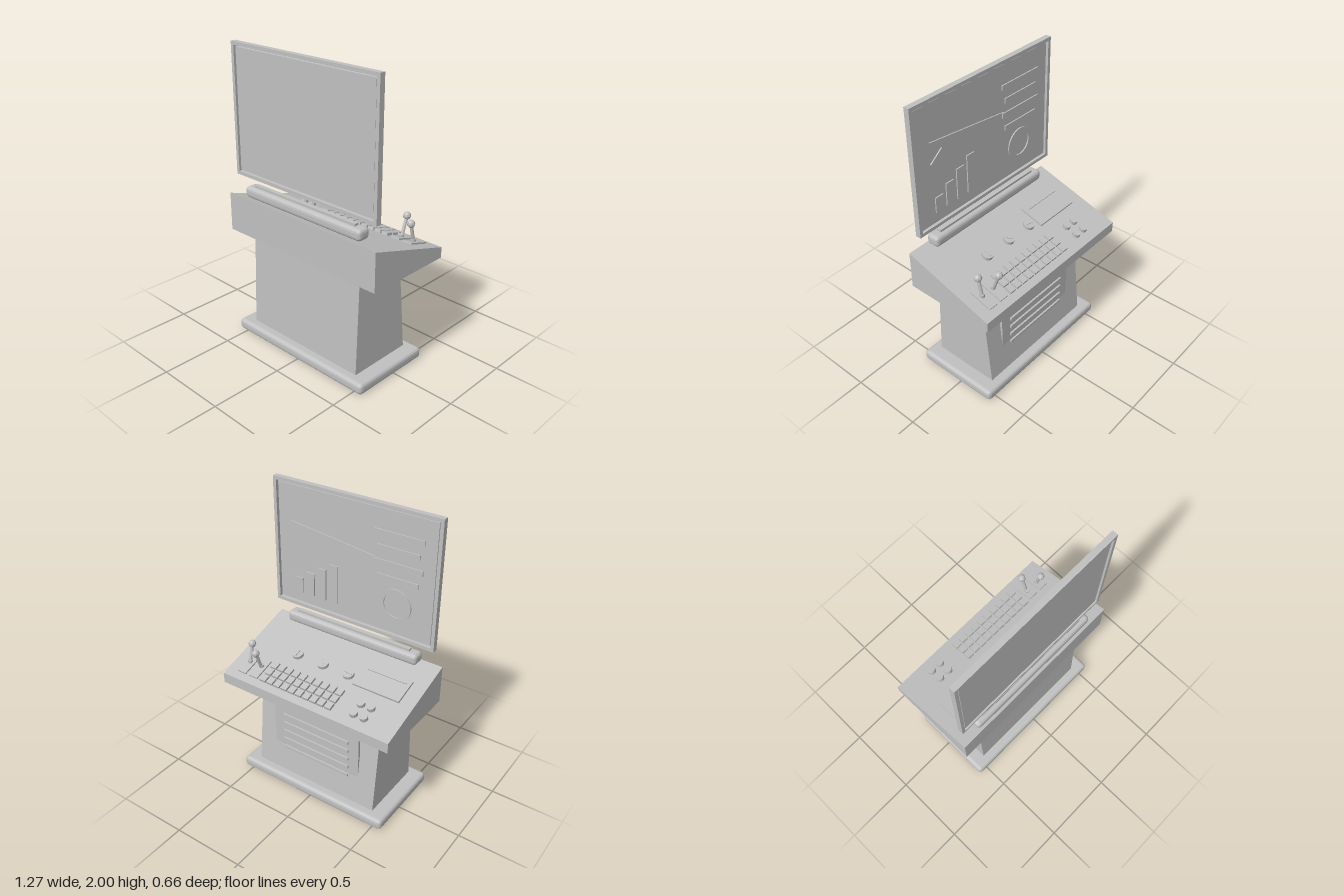
import * as THREE from 'three';
import { RoundedBoxGeometry } from 'three/addons/geometries/RoundedBoxGeometry.js';

const grey = new THREE.MeshStandardMaterial({ color: 0xc0c0c0, flatShading: true });
grey.name = 'plain grey';

function add(parent, name, geometry, x = 0, y = 0, z = 0) {
  const mesh = new THREE.Mesh(geometry, grey);
  mesh.name = name;
  mesh.position.set(x, y, z);
  parent.add(mesh);
  return mesh;
}

// Box given by its limits
function block(parent, name, x0, x1, y0, y1, z0, z1) {
  return add(parent, name, new THREE.BoxGeometry(x1 - x0, y1 - y0, z1 - z0),
    (x0 + x1) / 2, (y0 + y1) / 2, (z0 + z1) / 2);
}

function polygon(points) {
  return new THREE.Shape(points.map(([x, y]) => new THREE.Vector2(x, y)));
}

function extrude(shape, depth) {
  return new THREE.ExtrudeGeometry(shape, { depth, bevelEnabled: false, curveSegments: 16 });
}

// Side profile of [z, y] points, drawn out along x
function sideProfile(points, width) {
  const g = extrude(polygon(points.map(([z, y]) => [-z, y])), width);
  g.rotateY(Math.PI / 2);
  g.translate(-width / 2, 0, 0);
  return g;
}

function rod(parent, name, a, b, radius) {
  const from = new THREE.Vector3(...a), to = new THREE.Vector3(...b);
  const dir = to.clone().sub(from);
  const mesh = add(parent, name, new THREE.CylinderGeometry(radius, radius, dir.length(), 8));
  mesh.position.copy(from).add(to).multiplyScalar(0.5);
  mesh.quaternion.setFromUnitVectors(new THREE.Vector3(0, 1, 0), dir.normalize());
}

function makeMonitor() {
  const g = new THREE.Group();
  g.name = 'monitor';
  // Frame with a narrow gap around the screen
  const rim = polygon([[-0.6, 1.135], [0.6, 1.135], [0.6, 2], [-0.6, 2]]);
  rim.holes.push(polygon([[-0.577, 1.158], [-0.577, 1.977], [0.577, 1.977], [0.577, 1.158]]));
  add(g, 'screenFrame', extrude(rim, 0.038), 0, 0, 0.221);
  block(g, 'screen', -0.568, 0.568, 1.167, 1.968, 0.232, 0.25);

  // Raised display graphics on the operator side
  const z = 0.224, depth = 0.009;
  add(g, 'arrowGraphic',
    extrude(polygon([[0.47, 1.73], [0.375, 1.658], [0.47, 1.585], [-0.157, 1.657]]), depth), 0, 0, z);
  for (let i = 0; i < 4; i++) {
    const half = i % 2 ? 0.145 : 0.17, y = 1.822 - i * 0.095;
    block(g, 'textBar', -0.318 - half, -0.318 + half, y - 0.016, y + 0.016, z, z + depth);
    const x = 0.42 - i * 0.092;
    block(g, 'chartBar', x - 0.033, x + 0.033, 1.24, [1.345, 1.4, 1.455, 1.505][i], z, z + depth);
  }
  const ring = new THREE.Shape().absarc(0, 0, 0.11, 0, Math.PI * 2);
  ring.holes.push(new THREE.Path().absarc(0, 0, 0.083, 0, Math.PI * 2, true));
  add(g, 'ringGraphic', extrude(ring, depth), -0.315, 1.367, z);
  return g;
}

function makeControls() {
  const slope = Math.atan2(0.19, 0.63);
  const g = new THREE.Group();
  g.name = 'controls';
  g.position.set(0, 0.905, -0.015);
  g.rotation.x = -slope;
  // Level z to distance along the sloping top
  const along = z => (z + 0.015) / Math.cos(slope);

  // Tablet with a low lip
  block(g, 'tablet', -0.535, -0.2, 0, 0.014, along(-0.053), along(0.116));
  block(g, 'tabletLip', -0.508, -0.228, 0.014, 0.02, along(0.08), along(0.088));

  // Dials with pointers
  [[-0.135, -0.1], [0.063, -0.87], [0.265, Math.PI / 2]].forEach(([x, turn]) => {
    const z = along(0);
    add(g, 'dial', new THREE.CylinderGeometry(0.037, 0.037, 0.022, 12), x, 0.011, z);
    const pointer = add(g, 'dialPointer', new THREE.BoxGeometry(0.052, 0.006, 0.006), x, 0.024, z);
    pointer.rotation.y = turn;
  });

  // Keyboard
  for (let row = 0; row < 3; row++) {
    for (let col = 0; col < 10; col++) {
      add(g, 'key', new THREE.BoxGeometry(0.046, 0.018, 0.05),
        -0.165 + col * 0.0567, 0.009, along(-0.255 + row * 0.057));
    }
  }

  // Round push buttons
  for (const x of [-0.408, -0.335]) {
    for (const z of [-0.24, -0.16]) {
      add(g, 'pushButton', new THREE.CylinderGeometry(0.027, 0.027, 0.026, 10), x, 0.013, along(z));
    }
  }

  // Lever plates
  for (const x of [0.425, 0.52]) {
    block(g, 'leverPlate', x - 0.033, x + 0.033, 0, 0.01, along(-0.276), along(-0.125));
  }
  return g;
}

export function createModel() {
  const model = new THREE.Group();
  model.name = 'controlConsole';

  // Foot, tapered pedestal and wedge-shaped desk
  add(model, 'foot', new RoundedBoxGeometry(1.134, 0.076, 0.595, 2, 0.026), 0, 0.042, 0.033);
  add(model, 'pedestal',
    sideProfile([[0.265, 0.075], [-0.2, 0.075], [-0.13, 0.745], [0.24, 0.745]], 0.932));
  add(model, 'desk',
    sideProfile([[0.3, 0.738], [-0.33, 0.738], [-0.33, 0.81], [0.3, 1]], 1.266));

  // Bar below the monitor
  add(model, 'monitorBar', new RoundedBoxGeometry(0.996, 0.076, 0.094, 2, 0.026), 0, 1.043, 0.239);
  block(model, 'monitorBarStrip', -0.433, 0.433, 1.078, 1.096, 0.224, 0.254);

  model.add(makeMonitor(), makeControls());

  // Joystick levers, one pushed away and one pulled back
  for (const [x, z] of [[0.425, -0.238], [0.52, -0.158]]) {
    rod(model, 'lever', [x, 0.855, -0.19], [x, 0.99, z], 0.011);
    add(model, 'leverBoss', new THREE.CylinderGeometry(0.017, 0.017, 0.024, 8), x, 0.868, -0.187);
    add(model, 'leverKnob', new THREE.SphereGeometry(0.026, 8, 6), x, 0.99, z);
  }

  // Service panel with top rail and vent slats
  block(model, 'servicePanel', -0.335, 0.335, 0.265, 0.6, -0.178, -0.16);
  block(model, 'panelRail', -0.4, 0.4, 0.62, 0.658, -0.187, -0.168);
  for (let i = 0; i < 5; i++) {
    const y = 0.272 + i * 0.067;
    block(model, 'ventSlat', -0.26, 0.26, y - 0.01, y + 0.01, -0.19, -0.176);
  }
  return model;
}
